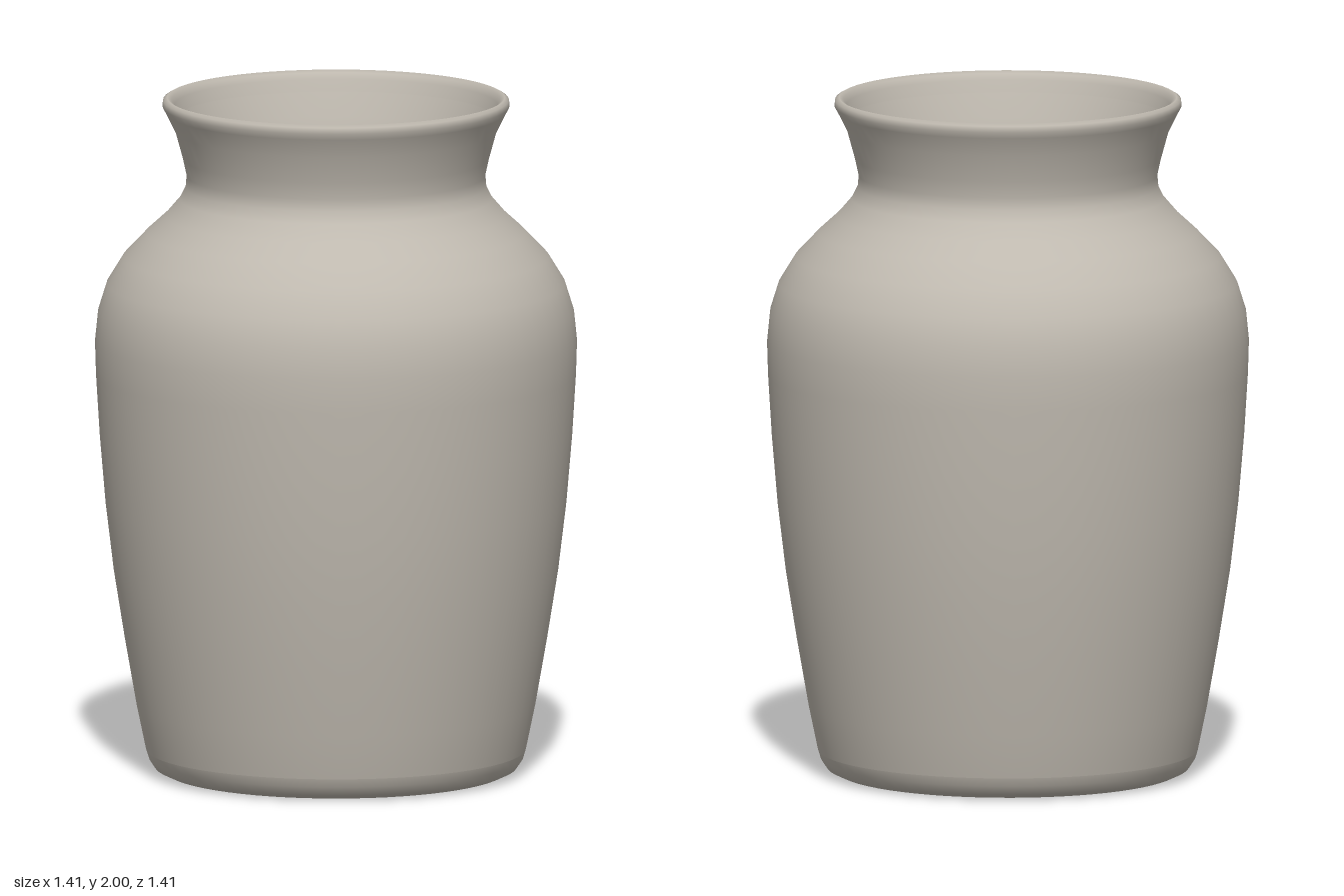
import * as THREE from 'three';

export function createModel() {
  const group = new THREE.Group();
  group.name = 'vase';
  const clay = new THREE.MeshStandardMaterial({ color: 0xbfb9af });
  clay.name = 'warm grey clay';

  // Revolve a profile of [radius, height] pairs around the y axis
  const revolve = (name, pairs) => {
    const points = pairs.map(([r, y]) => new THREE.Vector2(r, y));
    const mesh = new THREE.Mesh(new THREE.LatheGeometry(points, 64), clay);
    mesh.name = name;
    group.add(mesh);
  };

  // Recessed underside and foot ring
  revolve('foot', [
    [0, 0.05], [0.29, 0.05], [0.315, 0.045], [0.34, 0.02], [0.38, 0.004],
    [0.44, 0], [0.5, 0.004], [0.53, 0.018], [0.548, 0.045], [0.556, 0.07],
  ]);

  // Tapered body, shoulder and flared neck
  revolve('body', [
    [0.548, 0.045], [0.556, 0.07], [0.583, 0.2], [0.618, 0.4], [0.65, 0.6],
    [0.674, 0.8], [0.691, 1], [0.702, 1.18], [0.705, 1.28], [0.696, 1.37],
    [0.671, 1.45], [0.622, 1.53], [0.555, 1.6], [0.5, 1.65], [0.457, 1.7],
    [0.44, 1.735], [0.437, 1.77], [0.448, 1.82], [0.47, 1.9], [0.497, 1.955],
  ]);

  // Rounded lip
  revolve('lip', [
    [0.47, 1.9], [0.497, 1.955], [0.508, 1.975], [0.506, 1.993],
    [0.494, 2], [0.482, 1.993], [0.474, 1.975], [0.462, 1.94],
  ]);

  // Hollow inside, running down to the floor
  revolve('inside', [
    [0.474, 1.975], [0.462, 1.94], [0.435, 1.87], [0.414, 1.8], [0.408, 1.76],
    [0.415, 1.715], [0.465, 1.635], [0.53, 1.57], [0.592, 1.5], [0.636, 1.43],
    [0.661, 1.36], [0.668, 1.27], [0.654, 1], [0.614, 0.6], [0.548, 0.2],
    [0.53, 0.13], [0.49, 0.1], [0.4, 0.09], [0, 0.09],
  ]);

  return group;
}
